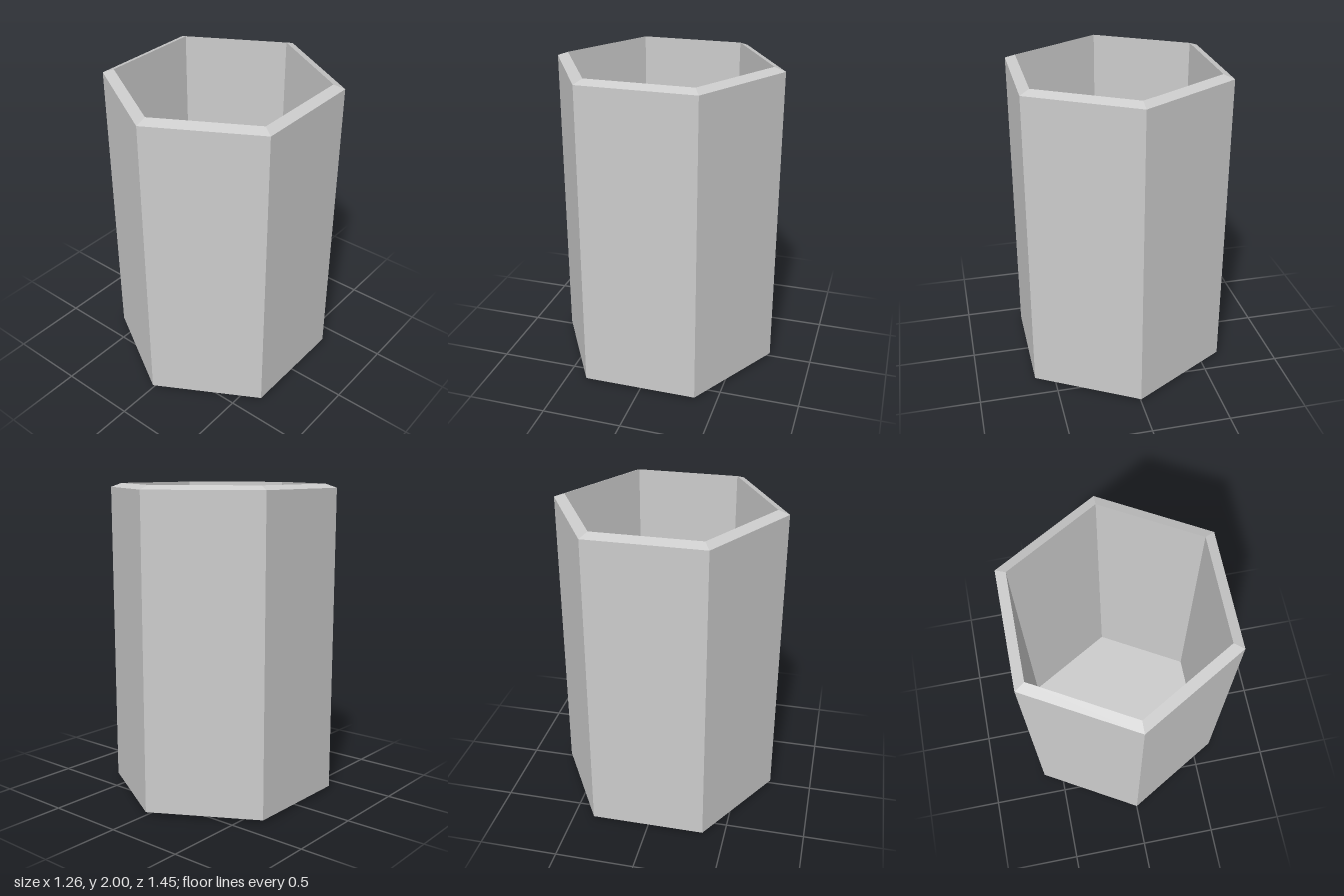
import * as THREE from 'three';

const SIDES = 6;
const OUTER = 0.726, INNER = 0.656;          // corner radii
const SKIRT = 0.02, SHOULDER = 1.975, TOP = 2;

const material = new THREE.MeshStandardMaterial({
  color: 0xcccccc, flatShading: true, side: THREE.DoubleSide,
});

function addPart(group, name, geometry) {
  const faceted = geometry.toNonIndexed();
  faceted.computeVertexNormals();
  const mesh = new THREE.Mesh(faceted, material);
  mesh.name = name;
  group.add(mesh);
}

// Hexagonal band between two [radius, height] rings, corners on the z axis
const band = (...rings) =>
  new THREE.LatheGeometry(rings.map(([r, y]) => new THREE.Vector2(r, y)), SIDES);

export function createModel() {
  const group = new THREE.Group();
  group.name = 'hexagonalCup';

  // Outer shell, left open underneath
  addPart(group, 'outerWall', band([OUTER, SKIRT], [OUTER, SHOULDER]));

  // Rim sloping up to the mouth
  addPart(group, 'rim', band([OUTER, SHOULDER], [INNER, TOP]));

  // Inner wall, reaching down past the outer shell to the floor
  addPart(group, 'innerWall', band([INNER, TOP], [INNER, 0]));

  // Floor
  const floor = new THREE.CircleGeometry(INNER, SIDES, Math.PI / 2);
  floor.rotateX(-Math.PI / 2);
  addPart(group, 'floor', floor);

  return group;
}
